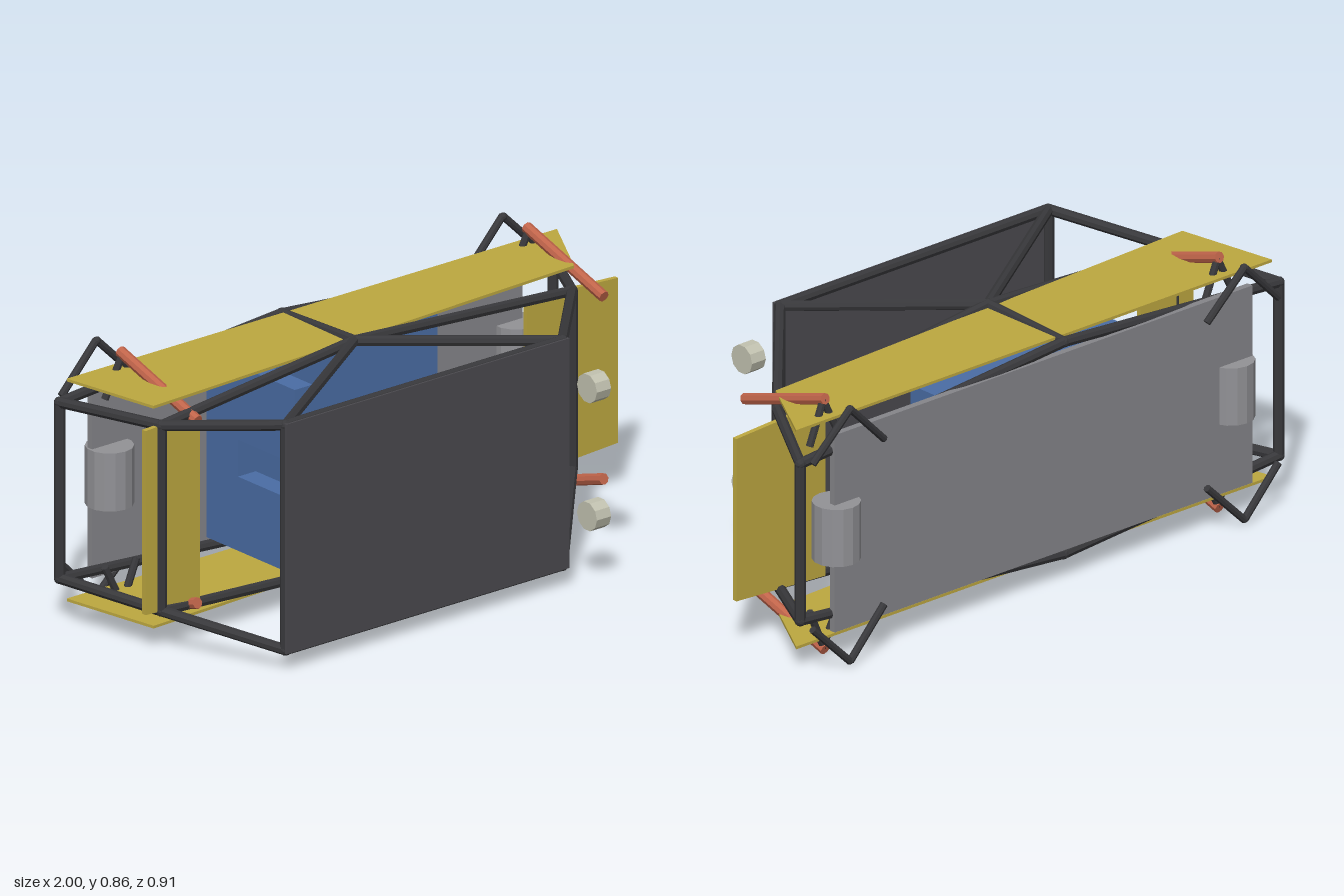
import * as THREE from 'three';

const mat = (name, color, extra = {}) => {
  const m = new THREE.MeshStandardMaterial({ color, flatShading: true, ...extra });
  m.name = name;
  return m;
};

const MID = 0.432; // height of the mirror plane
const V = (x, h, z) => new THREE.Vector3(x, MID + h, z);

export function createModel() {
  const root = new THREE.Group();
  root.name = 'buggyFrame';
  const tubeMat = mat('frameBlack', 0x38383b);
  const roofMat = mat('roofCharcoal', 0x4a494e);
  const yellow = mat('panelYellow', 0xbda840);
  const blue = mat('seatBlue', 0x4a6da5);
  const grey = mat('floorGrey', 0x86868a);
  const silver = mat('motorGrey', 0x929296);
  const red = mat('shockRed', 0xc0644a);
  const cream = mat('lampCream', 0xc2c2b0);

  const add = (name, geo, material) => {
    const m = new THREE.Mesh(geo, material);
    m.name = name;
    root.add(m);
    return m;
  };
  const box = (name, material, x0, x1, y0, y1, z0, z1) =>
    add(name, new THREE.BoxGeometry(x1 - x0, y1 - y0, z1 - z0), material)
      .position.set((x0 + x1) / 2, (y0 + y1) / 2, (z0 + z1) / 2);
  const tube = (name, a, b, r = 0.017, material = tubeMat, sides = 8) => {
    const d = b.clone().sub(a);
    const m = add(name, new THREE.CylinderGeometry(r, r, d.length(), sides), material);
    m.position.copy(a).add(b).multiplyScalar(0.5);
    m.quaternion.setFromUnitVectors(new THREE.Vector3(0, 1, 0), d.normalize());
  };
  const outline = (pts) => new THREE.Shape(pts.map(([x, y]) => new THREE.Vector2(x, y)));
  const plate = (name, pts, depth, material) =>
    add(name, new THREE.ExtrudeGeometry(outline(pts), { depth, bevelEnabled: false }), material);

  // Frame nodes: x, distance from the mirror plane, z
  const nodes = {
    A: [-0.983, 0.285, -0.372], E: [0.968, 0.258, -0.382], J: [-0.1, 0.348, -0.382],
    F: [-0.897, 0.3, 0.003], D: [0.79, 0.288, -0.08], I: [-0.1, 0.362, -0.042],
    G: [-0.713, 0.364, 0.366], H: [0.378, 0.364, 0.366],
  };
  const links = ['GH', 'GF', 'GI', 'HI', 'HD', 'FI', 'ID', 'FA', 'DE', 'AJ', 'JE', 'IJ'];

  for (const s of [1, -1]) {
    const node = (k) => V(nodes[k][0], s * nodes[k][1], nodes[k][2]);
    for (const [a, b] of links) tube('frameTube', node(a), node(b));
    for (const k in nodes) {
      const joint = add('frameJoint', new THREE.IcosahedronGeometry(0.018, 1), tubeMat);
      joint.position.copy(node(k));
    }

    // Side panels, one each side of the middle tube
    const sides = [
      [[-0.965, -0.36], [-0.11, -0.36], [-0.11, -0.055], [-0.91, -0.018]],
      [[-0.09, -0.36], [0.965, -0.36], [0.81, -0.095], [-0.09, -0.055]],
    ];
    for (const pts of sides) {
      const p = plate('sidePanel', pts.map(([x, z]) => [x, -z]).reverse(), 0.009, yellow);
      p.rotation.x = -Math.PI / 2;
      p.position.y = MID + s * 0.356 - 0.0045;
    }

    // Wishbones and shock absorbers at both axles
    for (const x of [-0.78, 0.82]) {
      tube('shockAbsorber', V(x, s * 0.295, 0.033), V(x, s * 0.412, -0.33), 0.018, red);
      for (const d of [-1, 1]) {
        tube('upperWishbone', V(x, s * 0.404, -0.32), V(x + d * 0.062, s * 0.272, -0.328), 0.012);
        tube('lowerWishbone', V(x, s * 0.415, -0.442), V(x + d * 0.145, s * 0.272, -0.434), 0.012);
      }
      for (const z of [-0.32, -0.44]) {
        const tip = add('wishboneTip', new THREE.IcosahedronGeometry(0.013, 1), tubeMat);
        tip.position.copy(V(x, s * (z < -0.4 ? 0.413 : 0.403), z));
      }
    }

    // Lamps
    const y = MID + s * 0.207;
    tube('headlamp', new THREE.Vector3(0.437, y, 0.41), new THREE.Vector3(0.493, y, 0.41), 0.047, cream, 10);

    // Backrests
    const e = [MID + s * 0.06, MID + s * 0.3].sort((a, b) => a - b);
    box('seatBackrest', blue, -0.4, -0.33, e[0], e[1], -0.23, 0.036);
  }

  // Cross tubes
  for (const k of ['A', 'E', 'F', 'D', 'G', 'H']) {
    const [x, h, z] = nodes[k];
    tube('crossTube', V(x, -h, z), V(x, h, z));
  }

  // Roof, floor and seat base
  box('roofPanel', roofMat, -0.725, 0.39, 0.062, 0.806, 0.368, 0.385);
  box('floorPanel', grey, -0.845, 0.85, 0.108, 0.757, -0.406, -0.384);
  box('seatBase', blue, -0.4, 0.385, 0.132, 0.732, -0.378, -0.23);

  // End panels
  const endPanel = (name, x0, h0, x1, h1, z) => {
    const p = plate(name, [[x0, -h0], [x1, -h1], [x1, h1], [x0, h0]], 0.016, yellow);
    p.position.set(0, MID, z - 0.008);
  };
  endPanel('rightEndPanel', 0.64, 0.287, 1.0, 0.267, -0.122);
  endPanel('leftEndPanel', -0.96, 0.298, -0.745, 0.308, -0.004);

  // Axle motors
  for (const x of [-0.78, 0.82]) {
    tube('axleMotor', V(x, -0.094, -0.38), V(x, 0.094, -0.38), 0.075, silver, 14);
  }
  return root;
}
